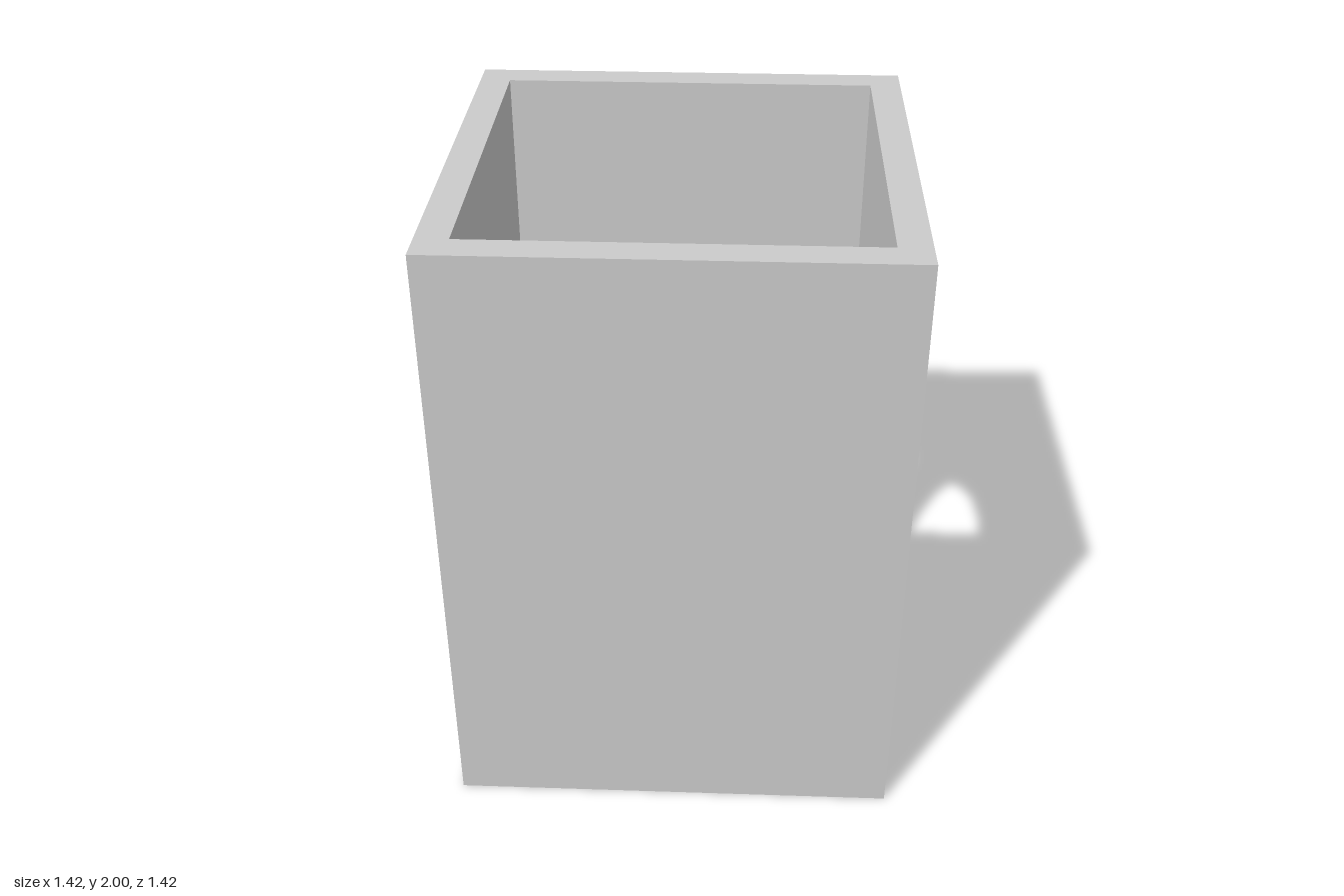
import * as THREE from 'three';

const OUT = 0.71, IN = 0.61, H = 2, HOLE_Y = 0.735;

// Mitred wall panel facing +z, with an optional 20-sided opening that may narrow inwards
function wallGeometry(radius = 0, innerHalfWidth = radius) {
  const shape = new THREE.Shape([
    new THREE.Vector2(-OUT, 0), new THREE.Vector2(OUT, 0),
    new THREE.Vector2(OUT, H), new THREE.Vector2(-OUT, H),
  ]);
  if (radius) {
    const ring = [];
    for (let i = 0; i < 20; i++) {
      const a = -i * Math.PI / 10;
      ring.push(new THREE.Vector2(radius * Math.cos(a), HOLE_Y + radius * Math.sin(a)));
    }
    shape.holes.push(new THREE.Path(ring));
  }
  const geo = new THREE.ExtrudeGeometry(shape, { depth: OUT - IN, bevelEnabled: false });
  geo.translate(0, 0, IN);
  // Inner face: pull the ends in for the mitre and narrow the opening
  const p = geo.attributes.position;
  for (let i = 0; i < p.count; i++) {
    if (p.getZ(i) > (IN + OUT) / 2) continue;
    const x = p.getX(i);
    if (Math.abs(x) > OUT - 0.01) p.setX(i, Math.sign(x) * IN);
    else if (radius) p.setX(i, x * innerHalfWidth / radius);
  }
  geo.computeVertexNormals();
  return geo;
}

export function createModel() {
  const model = new THREE.Group();
  model.name = 'accessChamber';
  const material = new THREE.MeshStandardMaterial({ color: 0xcccccc, flatShading: true });

  const add = (parent, name, geo) => {
    const mesh = new THREE.Mesh(geo, material);
    mesh.name = name;
    parent.add(mesh);
    return mesh;
  };

  // Four walls, open at top and bottom
  add(model, 'frontWall', wallGeometry());
  add(model, 'backWall', wallGeometry(0.58)).rotation.y = Math.PI;
  add(model, 'leftWall', wallGeometry(0.555, 0.51)).rotation.y = Math.PI / 2;
  add(model, 'rightWall', wallGeometry(0.555, 0.51)).rotation.y = -Math.PI / 2;

  // Step irons on the inside of the front wall: one U-shaped outline per rung
  const x0 = -0.163, x1 = 0.094, leg = 0.023, bar = 0.03, reach = 0.09;
  const outline = new THREE.Shape([
    [x0, 0], [x0 + leg, 0], [x0 + leg, reach - bar], [x1 - leg, reach - bar],
    [x1 - leg, 0], [x1, 0], [x1, reach], [x0, reach],
  ].map(([x, y]) => new THREE.Vector2(x, y)));
  const rungGeo = new THREE.ExtrudeGeometry(outline, { depth: 0.04, bevelEnabled: false });
  rungGeo.rotateX(-Math.PI / 2);

  const ladder = new THREE.Group();
  ladder.name = 'ladder';
  for (const y of [0.34, 0.71, 1.0, 1.31, 1.59, 1.86]) {
    add(ladder, 'rung', rungGeo).position.set(0, y - 0.02, IN);
  }
  model.add(ladder);
  return model;
}
